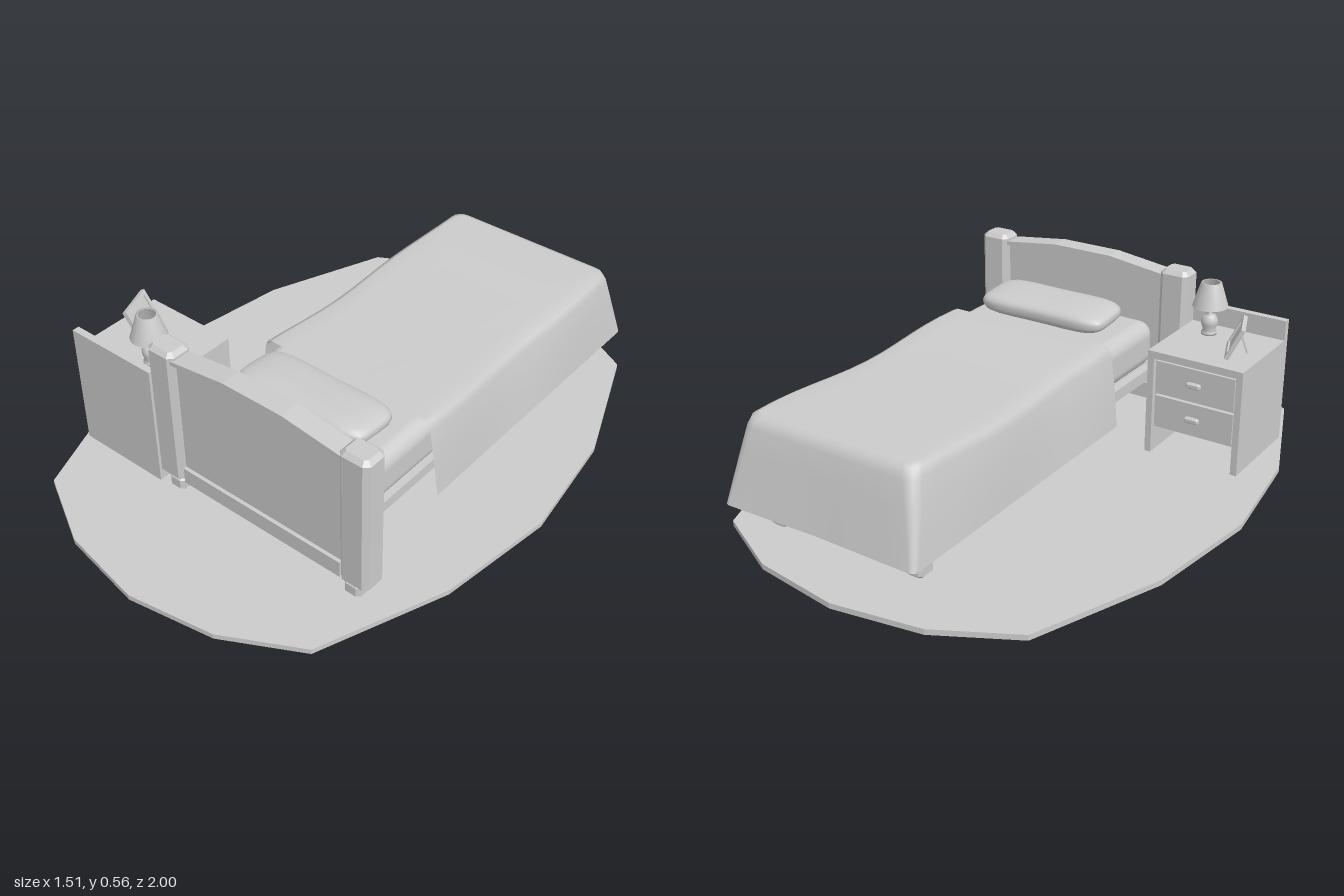
import * as THREE from 'three';
import { RoundedBoxGeometry } from 'three/addons/geometries/RoundedBoxGeometry.js';
import { mergeVertices } from 'three/addons/utils/BufferGeometryUtils.js';

const smooth = new THREE.MeshStandardMaterial({ color: 0xcccccc });
const flat = new THREE.MeshStandardMaterial({ color: 0xcccccc, flatShading: true });
const cloth = new THREE.MeshStandardMaterial({ color: 0xcccccc, side: THREE.DoubleSide });
const BED_X = 0.142;

function add(parent, name, geometry, x = 0, y = 0, z = 0, material = flat) {
  const mesh = new THREE.Mesh(geometry, material);
  mesh.name = name;
  mesh.position.set(x, y, z);
  parent.add(mesh);
  return mesh;
}

// Box given by its lower and upper limits on each axis
function addBox(parent, name, x0, x1, y0, y1, z0, z1) {
  const g = new THREE.BoxGeometry(x1 - x0, y1 - y0, z1 - z0);
  return add(parent, name, g, (x0 + x1) / 2, (y0 + y1) / 2, (z0 + z1) / 2);
}

function group(parent, name) {
  const g = new THREE.Group();
  g.name = name;
  parent.add(g);
  return g;
}

const shapeOf = pts => new THREE.Shape(pts.map(p => new THREE.Vector2(...p)));

// Upright block with chamfered edges, standing on y = 0
function chamferBlock(w, h, d, c) {
  const a = w / 2 - c, b = d / 2 - c, k = c * 0.6;
  const shape = shapeOf([[-a + k, -b], [a - k, -b], [a, -b + k], [a, b - k],
    [a - k, b], [-a + k, b], [-a, b - k], [-a, -b + k]]);
  const g = new THREE.ExtrudeGeometry(shape, {
    depth: h - 2 * c, bevelEnabled: true, bevelSize: c, bevelThickness: c, bevelSegments: 1 });
  return g.translate(0, 0, c).rotateX(-Math.PI / 2);
}

function buildRug(root) {
  const half = [[0, -1], [0.29, -0.955], [0.535, -0.825], [0.7, -0.4], [0.755, 0],
    [0.7, 0.4], [0.535, 0.818], [0.288, 0.95], [0, 1]];
  const other = half.slice(1, -1).reverse().map(([x, z]) => [-x, z]);
  const g = new THREE.ExtrudeGeometry(shapeOf([...half, ...other]), { depth: 0.018, bevelEnabled: false });
  add(root, 'rug', g.rotateX(Math.PI / 2), 0, 0.018, 0);
}

function buildHeadboard(bed) {
  const head = group(bed, 'headboard');
  for (const s of [-1, 1]) {
    add(head, 'headPost', chamferBlock(0.105, 0.495, 0.09, 0.014), BED_X + s * 0.363, 0.066, 0.562);
    add(head, 'headFoot', chamferBlock(0.062, 0.052, 0.066, 0.01), BED_X + s * 0.352, 0.018, 0.565);
  }
  // Arched panel and the cap that follows its top edge
  const arch = [[-0.32, 0.538], [-0.11, 0.565], [0.11, 0.565], [0.32, 0.538]];
  const board = (pts, depth) => new THREE.ExtrudeGeometry(shapeOf(pts), { depth, bevelEnabled: false });
  const lower = arch.map(([x, y]) => [x, y - 0.014]);
  add(head, 'headPanel', board([[-0.32, 0.07], [0.32, 0.07], ...lower.slice().reverse()], 0.04), BED_X, 0, 0.545);
  add(head, 'headCap', board([...lower, ...arch.slice().reverse()], 0.07), BED_X, 0, 0.53);
  addBox(head, 'headBottomRail', BED_X - 0.31, BED_X + 0.31, 0.068, 0.125, 0.535, 0.597);
}

function buildFrame(bed) {
  const frame = group(bed, 'bedFrame');
  for (const s of [-1, 1]) {
    const x = BED_X + s * 0.29;
    addBox(frame, 'sideRail', x - 0.015, x + 0.015, 0.165, 0.19, -0.78, 0.54);
    addBox(frame, 'sideLedge', x - 0.022, x + 0.022, 0.19, 0.212, -0.78, 0.54);
    const fx = BED_X + s * 0.256;
    add(frame, 'footLeg', chamferBlock(0.062, 0.065, 0.066, 0.01), fx, 0.018, -0.745);
    add(frame, 'footBlock', chamferBlock(0.1, 0.14, 0.11, 0.01), fx, 0.07, -0.745);
  }
  addBox(frame, 'footRail', BED_X - 0.29, BED_X + 0.29, 0.13, 0.2, -0.79, -0.76);
  addBox(frame, 'bedBase', BED_X - 0.28, BED_X + 0.28, 0.185, 0.215, -0.77, 0.53);
}

// Draped cloth: U-shaped rings from the hem up to the top, closing on the head edge
function blanketGeometry() {
  const headZ = 0.2, cx = 0.145;
  const outline = (w, foot, r) => {
    const pts = [];
    for (let i = 0; i < 12; i++) pts.push([-w, headZ + (foot + r - headZ) * i / 12]);
    for (let i = 0; i <= 4; i++) {
      const a = i / 4 * Math.PI / 2;
      pts.push([-w + r - r * Math.cos(a), foot + r - r * Math.sin(a)]);
    }
    for (let i = 1; i < 5; i++) pts.push([(-w + r) * (1 - i / 5), foot]);
    pts.push([0, foot]);
    return [...pts, ...pts.slice(0, -1).reverse().map(([x, z]) => [-x, z])];
  };
  const topY = z => 0.383 + 0.008 * Math.cos((z - 0.22) * 6.3);
  // [height below the top as a fraction, half width, foot z, corner radius]
  const levels = [[1, 0.353, -0.878, 0.02], [0.7, 0.343, -0.858, 0.028], [0.4, 0.331, -0.838, 0.035],
    [0.13, 0.318, -0.82, 0.04], [0.03, 0.308, -0.806, 0.04], [0, 0.29, -0.785, 0.04]];
  const rings = levels.map(([drop, w, foot, r]) => outline(w, foot, r).map(([x, z]) => {
    const ripple = 0.008 * Math.sin(z * 9 + Math.sign(x)) * (1 - drop);
    const y = topY(z);
    return [cx + x + Math.sign(x) * ripple, y + (0.117 - y) * drop, z - 0.008 * drop * Math.abs(x) / w];
  }));
  const rim = rings[rings.length - 1];
  for (const f of [0.8, 0.6, 0.4, 0.2, 0.02]) {
    rings.push(rim.map(([x, , z]) => {
      const zz = headZ + (z - headZ) * f;
      return [cx + (x - cx) * f, topY(zz), zz];
    }));
  }
  const n = rim.length, index = [];
  for (let k = 0; k < rings.length - 1; k++) {
    for (let u = 0; u < n - 1; u++) {
      const a = k * n + u, b = a + n;
      index.push(a, b, a + 1, a + 1, b, b + 1);
    }
  }
  const g = new THREE.BufferGeometry();
  g.setAttribute('position', new THREE.Float32BufferAttribute(rings.flat(2), 3));
  g.setIndex(index);
  g.computeVertexNormals();
  return g;
}

// Cushion: a sphere squared off in plan, with pinched long edges
function pillowGeometry() {
  let g = new THREE.SphereGeometry(1, 40, 24);
  g.deleteAttribute('uv');
  g.deleteAttribute('normal');
  g = mergeVertices(g, 1e-4);
  const p = g.attributes.position, v = new THREE.Vector3();
  for (let i = 0; i < p.count; i++) {
    v.fromBufferAttribute(p, i);
    const plan = Math.pow(Math.abs(v.x) ** 5 + Math.abs(v.z) ** 5, 1 / 5);
    v.divideScalar(Math.pow(plan ** 3 + Math.abs(v.y) ** 3, 1 / 3));
    const pinch = 0.92 + 0.08 * v.x * v.x;
    p.setXYZ(i, v.x * 0.24, v.y * 0.041 * pinch, v.z * 0.107 * pinch);
  }
  g.computeVertexNormals();
  return g;
}

function buildNightstand(root) {
  const stand = group(root, 'nightstand');
  const x0 = -0.61, x1 = -0.275, z0 = 0.265;
  addBox(stand, 'backPanel', x0, x1, 0.018, 0.448, 0.578, 0.602);
  addBox(stand, 'top', x0, x1, 0.355, 0.38, z0, 0.578);
  addBox(stand, 'leftSide', x1 - 0.022, x1, 0.018, 0.355, z0, 0.578);
  addBox(stand, 'rightSide', x0, x0 + 0.022, 0.018, 0.355, z0, 0.578);
  addBox(stand, 'drawerBox', x0 + 0.02, x1 - 0.02, 0.105, 0.355, 0.287, 0.578);
  for (const y of [0.115, 0.237]) {
    addBox(stand, 'drawerFront', x0 + 0.028, x1 - 0.028, y, y + 0.11, 0.272, 0.29);
    add(stand, 'drawerHandle', chamferBlock(0.05, 0.018, 0.018, 0.004), (x0 + x1) / 2, y + 0.048, 0.264);
  }
}

function buildLamp(root) {
  const lamp = group(root, 'lamp');
  lamp.position.set(-0.374, 0.38, 0.5);
  const lathe = pts => new THREE.LatheGeometry(pts.map(p => new THREE.Vector2(...p)), 16);
  add(lamp, 'lampBase', lathe([[0, 0], [0.026, 0], [0.026, 0.008], [0.02, 0.014], [0.027, 0.035],
    [0.028, 0.05], [0.02, 0.066], [0.007, 0.073], [0.006, 0.13], [0, 0.13]]), 0, 0, 0, smooth);
  add(lamp, 'lampShade', lathe([[0.06, 0.098], [0.058, 0.104], [0.034, 0.18], [0.028, 0.18]]), 0, 0, 0, cloth);
  add(lamp, 'bulb', new THREE.SphereGeometry(0.018, 12, 8), 0, 0.14, 0, smooth);
}

function buildPictureFrame(root) {
  const holder = group(root, 'pictureFrame');
  holder.position.set(-0.495, 0.382, 0.39);
  holder.rotation.y = 1.95;
  const leaning = group(holder, 'leaningFrame');
  leaning.rotation.x = -0.45;
  for (const s of [-1, 1]) addBox(leaning, 'frameSide', s * 0.06 - 0.007, s * 0.06 + 0.007, 0, 0.112, -0.007, 0.007);
  addBox(leaning, 'frameBottom', -0.053, 0.053, 0, 0.014, -0.007, 0.007);
  addBox(leaning, 'frameTop', -0.053, 0.053, 0.098, 0.112, -0.007, 0.007);
  addBox(leaning, 'picture', -0.053, 0.053, 0.014, 0.098, -0.005, 0.001);
  const prop = addBox(holder, 'prop', -0.012, 0.012, 0, 0.075, -0.062, -0.058);
  prop.rotation.x = 0.35;
  prop.position.z = -0.05;
}

export function createModel() {
  const root = new THREE.Group();
  root.name = 'bedroomSet';
  buildRug(root);
  const bed = group(root, 'bed');
  buildHeadboard(bed);
  buildFrame(bed);
  add(bed, 'mattress', new RoundedBoxGeometry(0.61, 0.162, 1.31, 5, 0.05), 0.145, 0.291, -0.125, smooth);
  add(bed, 'blanket', blanketGeometry(), 0, 0, 0, cloth);
  add(bed, 'pillow', pillowGeometry(), 0.148, 0.417, 0.345, smooth).rotation.x = -0.08;
  buildNightstand(root);
  buildLamp(root);
  buildPictureFrame(root);
  return root;
}
